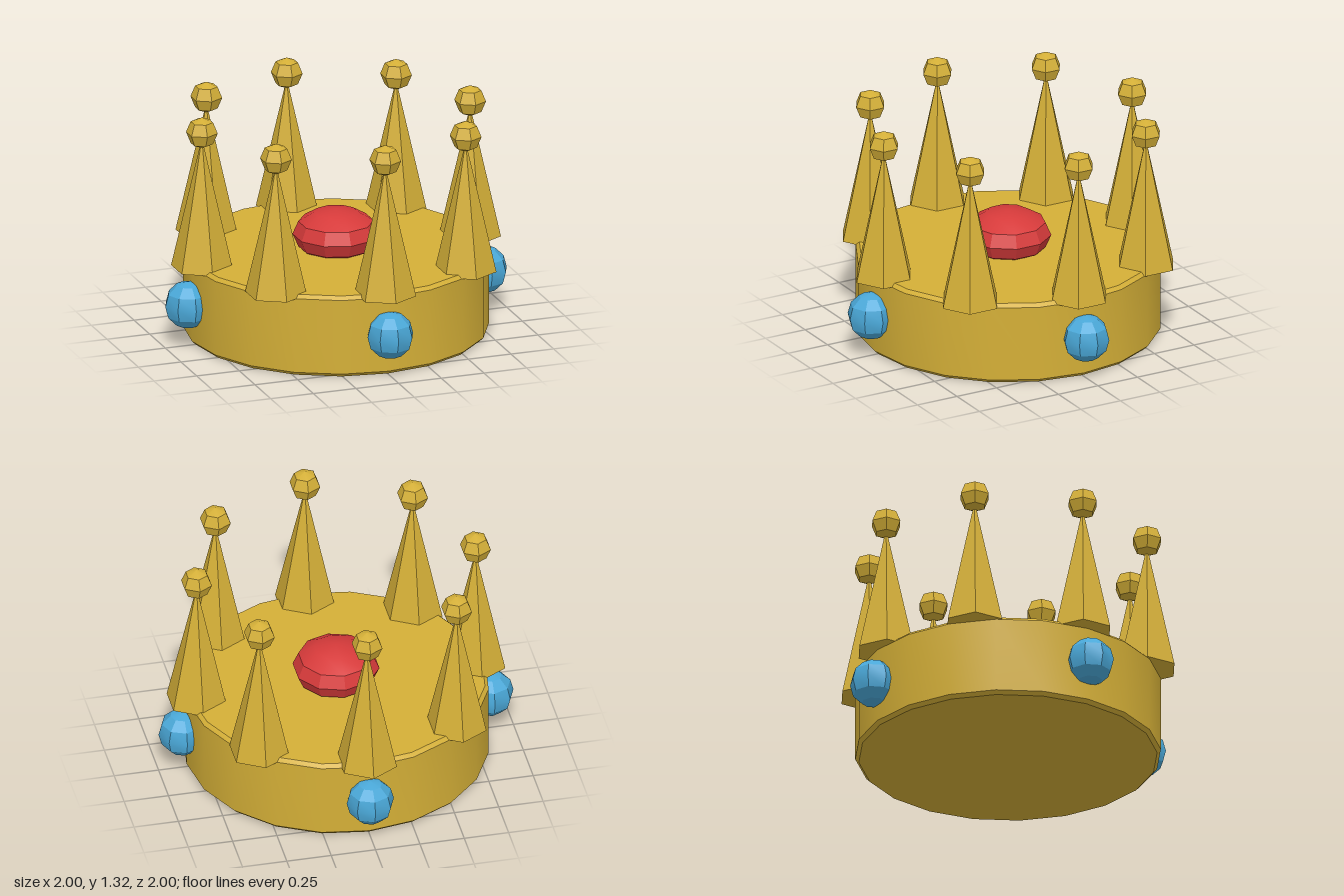
import * as THREE from 'three';
import { toCreasedNormals } from 'three/addons/utils/BufferGeometryUtils.js';

const CREASE = 0.5;

function material(name, color) {
  const m = new THREE.MeshStandardMaterial({ color });
  m.name = name;
  return m;
}

// Low-poly ball with a corner facing +z
function ball(radius, sides, rings) {
  return new THREE.SphereGeometry(radius, sides, rings).rotateY(Math.PI / 2);
}

export function createModel() {
  const crown = new THREE.Group();
  crown.name = 'crown';
  const gold = material('gold', 0xd4af37);
  const red = material('red gem', 0xd63a3a);
  const blue = material('blue gem', 0x4aa8d8);

  function add(name, geometry, mat, x, y, z) {
    const mesh = new THREE.Mesh(geometry, mat);
    mesh.name = name;
    mesh.position.set(x, y, z);
    crown.add(mesh);
  }

  // Solid round band with small bevels
  const profile = [[0, 0], [0.823, 0], [0.843, 0.02], [0.843, 0.448], [0.823, 0.468], [0, 0.468]]
    .map(([r, y]) => new THREE.Vector2(r, y));
  add('band', toCreasedNormals(new THREE.LatheGeometry(profile, 20), CREASE), gold, 0, 0, 0);

  // Eight six-sided spikes, each topped by a ball
  const spike = toCreasedNormals(new THREE.ConeGeometry(0.172, 0.75, 6), CREASE);
  const tip = toCreasedNormals(ball(0.0885, 6, 4), CREASE);
  for (let i = 0; i < 8; i++) {
    const a = (i * Math.PI) / 4;
    const x = 0.786 * Math.sin(a), z = 0.786 * Math.cos(a);
    add('spike', spike, gold, x, 0.823, z);
    add('spikeBall', tip, gold, x, 1.228, z);
  }

  // Four side gems
  const gem = toCreasedNormals(ball(0.133, 8, 6), CREASE);
  for (let i = 0; i < 4; i++) {
    const a = (i * Math.PI) / 2;
    add('sideGem', gem, blue, 0.867 * Math.sin(a), 0.238, 0.867 * Math.cos(a));
  }

  // Flattened gem in the middle of the top
  const centre = toCreasedNormals(ball(0.24, 10, 6).scale(1, 0.6, 1), CREASE);
  add('centreGem', centre, red, 0, 0.55, 0);

  return crown;
}
